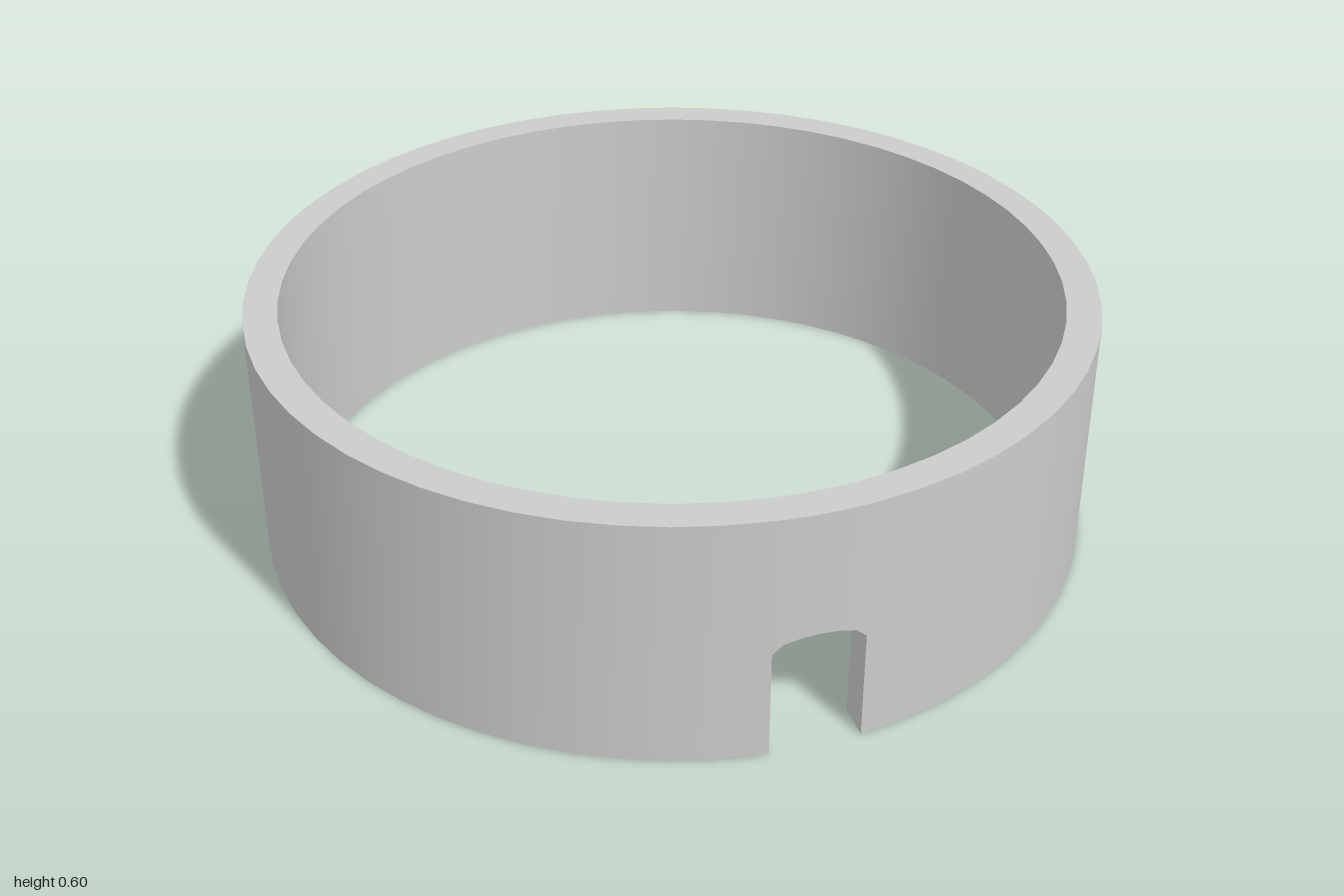
import * as THREE from 'three';
import { toCreasedNormals } from 'three/addons/utils/BufferGeometryUtils.js';

const OUTER = 1, INNER = 0.92, HEIGHT = 0.6, SEGMENTS = 60;

// One radial slice of the wall: outer and inner points plus its bottom height
const ringColumn = (angle) => ({
  o: [OUTER * Math.sin(angle), OUTER * Math.cos(angle)],
  i: [INNER * Math.sin(angle), INNER * Math.cos(angle)],
  y: 0,
});

// A slice at the front notch, cut straight through along z
const notchColumn = (x, y) => ({
  o: [x, Math.sqrt(OUTER ** 2 - x * x)],
  i: [x, Math.sqrt(INNER ** 2 - x * x)],
  y,
});

function createRingWall() {
  const half = OUTER * Math.sin((2 * Math.PI) / SEGMENTS);
  const columns = [notchColumn(half, 0)];
  for (let k = 2; k < SEGMENTS - 1; k++) columns.push(ringColumn((k / SEGMENTS) * Math.PI * 2));
  columns.push(notchColumn(-half, 0));

  // Arched outline of the notch, from right jamb to left jamb
  const arch = [[-half, 0.265], [-0.08, 0.287], [-0.045, 0.296], [0, 0.3], [0.045, 0.296], [0.08, 0.287], [half, 0.265]];
  for (const [x, y] of arch) columns.push(notchColumn(x, y));

  const positions = [];
  const quad = (a, b, c, d) => positions.push(...a, ...b, ...c, ...a, ...c, ...d);
  const at = ([x, z], y) => [x, y, z];

  columns.forEach((a, n) => {
    const b = columns[(n + 1) % columns.length];
    // Underside, which also forms the notch jambs and arch
    quad(at(a.i, a.y), at(b.i, b.y), at(b.o, b.y), at(a.o, a.y));
    if (Math.abs(a.o[0] - b.o[0]) + Math.abs(a.o[1] - b.o[1]) < 1e-6) return;
    // Outer face, inner face and top rim
    quad(at(a.o, a.y), at(b.o, b.y), at(b.o, HEIGHT), at(a.o, HEIGHT));
    quad(at(b.i, b.y), at(a.i, a.y), at(a.i, HEIGHT), at(b.i, HEIGHT));
    quad(at(a.o, HEIGHT), at(b.o, HEIGHT), at(b.i, HEIGHT), at(a.i, HEIGHT));
  });

  const geometry = new THREE.BufferGeometry();
  geometry.setAttribute('position', new THREE.Float32BufferAttribute(positions, 3));
  return toCreasedNormals(geometry, 0.5);
}

export function createModel() {
  const group = new THREE.Group();
  group.name = 'notchedRing';
  const wall = new THREE.Mesh(createRingWall(), new THREE.MeshStandardMaterial({ color: 0xcccccc }));
  wall.name = 'ringWall';
  group.add(wall);
  return group;
}
